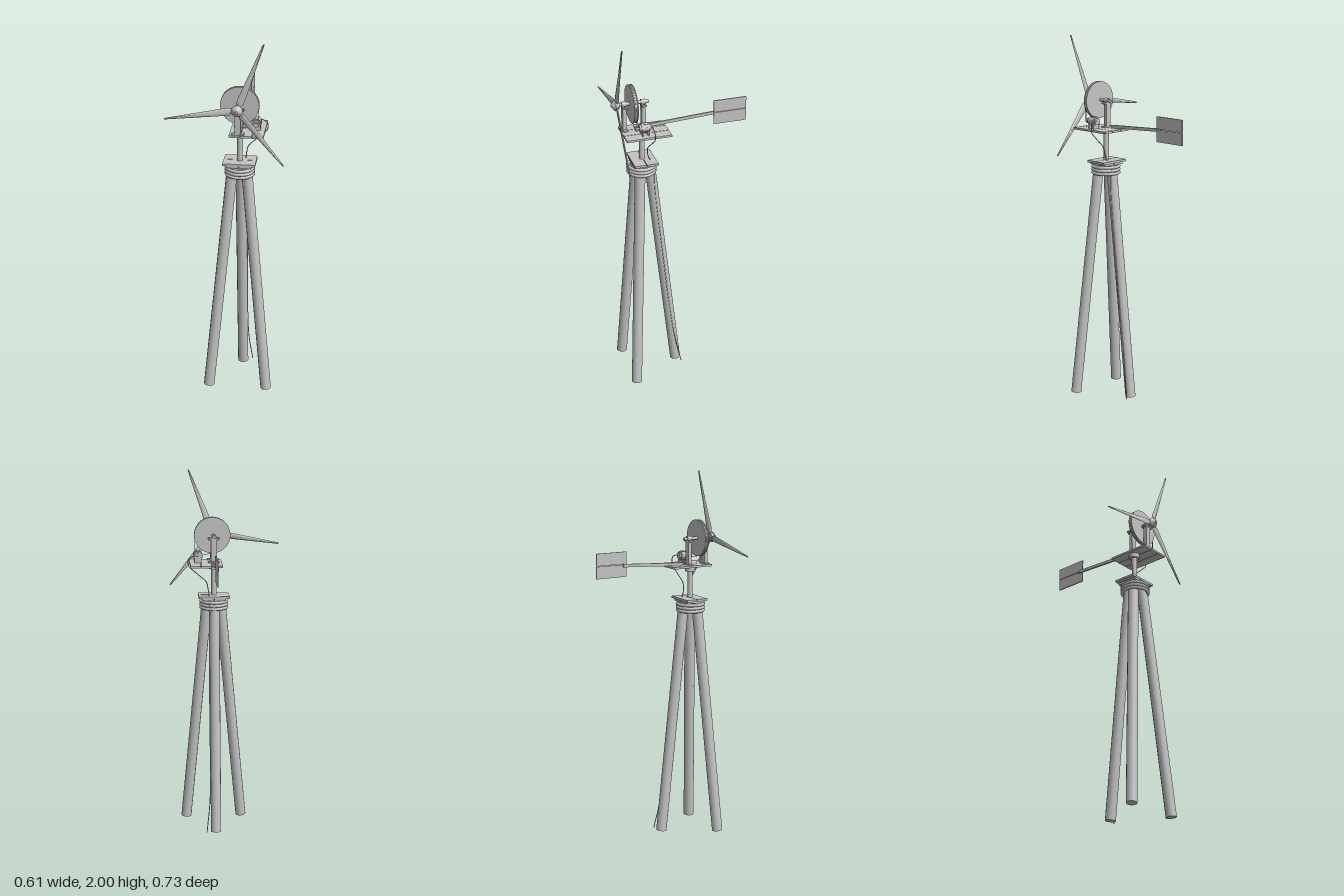
import * as THREE from 'three';

const grey = new THREE.MeshStandardMaterial({ color: 0xc4c4c4 });
grey.name = 'plain grey';

const AX = 0.065; // x of the tower and the rotor shaft
const TZ = 0.205; // z of the tower axis
const HUB = 1.65; // height of the rotor shaft

export function createModel() {
  const model = new THREE.Group();
  model.name = 'windTurbine';

  const add = (name, geometry, x = 0, y = 0, z = 0) => {
    const mesh = new THREE.Mesh(geometry, grey);
    mesh.name = name;
    mesh.position.set(x, y, z);
    model.add(mesh);
    return mesh;
  };
  // Box given by its limits on each axis
  const box = (name, x0, x1, y0, y1, z0, z1) =>
    add(name, new THREE.BoxGeometry(x1 - x0, y1 - y0, z1 - z0), (x0 + x1) / 2, (y0 + y1) / 2, (z0 + z1) / 2);
  // Cylinder between two points
  const rod = (name, a, b, r, sides = 16) => {
    const p = new THREE.Vector3(...a), q = new THREE.Vector3(...b);
    const dir = q.clone().sub(p);
    const mesh = add(name, new THREE.CylinderGeometry(r, r, dir.length(), sides));
    mesh.position.copy(p).add(q).multiplyScalar(0.5);
    mesh.quaternion.setFromUnitVectors(new THREE.Vector3(0, 1, 0), dir.normalize());
    return mesh;
  };
  const alongZ = (name, x, y, z0, z1, r, sides = 20) => rod(name, [x, y, z0], [x, y, z1], r, sides);

  // Tripod legs
  rod('rightLeg', [-0.093, 0.003, 0.297], [0.029, 1.3, 0.225], 0.029, 12);
  rod('leftLeg', [0.223, 0.003, 0.297], [0.101, 1.3, 0.225], 0.029, 12);
  rod('backLeg', [AX, 0.003, 0.023], [AX, 1.3, 0.165], 0.029, 12);

  // Binding rings around the leg tops
  for (let i = 0; i < 3; i++) {
    const ring = add('bindingRing', new THREE.TorusGeometry(0.071, 0.009, 10, 32), AX, 1.256 + i * 0.0175, TZ + 0.003);
    ring.rotation.x = Math.PI / 2;
  }

  // Two crossed layers of boards on the tripod
  for (const s of [0, 1]) {
    box('lowerBoard', 0.001 + s * 0.066, 0.063 + s * 0.066, 1.302, 1.314, 0.145, 0.262);
    box('upperBoard', -0.02, 0.15, 1.314, 1.326, 0.138 + s * 0.065, 0.2 + s * 0.065);
  }

  // Mast and swivel collar
  rod('mast', [AX, 1.32, TZ], [AX, 1.495, TZ], 0.0145);
  rod('swivelCollar', [AX, 1.472, TZ], [AX, 1.495, TZ], 0.028, 20);

  // Platform of three boards
  for (let i = 0; i < 3; i++) {
    box('platformBoard', 0.02 + i * 0.06, 0.077 + i * 0.06, 1.495, 1.506, 0.079, 0.318);
  }

  // Bearing posts with bolted pillow blocks
  for (const z of [0.195, 0.297]) {
    box('bearingPost', AX - 0.016, AX + 0.016, 1.506, 1.64, z - 0.01, z + 0.01);
    box('bearingFoot', AX - 0.032, AX + 0.032, 1.506, 1.513, z - 0.0125, z + 0.0125);
    box('bearingPlate', AX - 0.032, AX + 0.032, 1.634, 1.642, z - 0.0125, z + 0.0125);
    alongZ('bearingCap', AX, HUB, z - 0.0125, z + 0.0125, 0.0145);
    for (const s of [-1, 1]) {
      rod('bearingBolt', [AX + s * 0.025, 1.63, z], [AX + s * 0.025, 1.648, z], 0.004, 6);
    }
  }
  alongZ('shaft', AX, HUB, 0.165, 0.345, 0.0085);

  // Drive wheel: a flat disc with a shallow groove in its rim
  const wheelProfile = [[0, -0.0105], [0.1, -0.0105], [0.1, -0.0065], [0.097, -0.0045],
    [0.097, 0.0045], [0.1, 0.0065], [0.1, 0.0105], [0, 0.0105]]
    .map(([r, y]) => new THREE.Vector2(r, y));
  const wheelGeometry = new THREE.LatheGeometry(wheelProfile, 40).toNonIndexed();
  wheelGeometry.computeVertexNormals();
  const wheelX = AX + 0.005;
  const wheel = add('driveWheel', wheelGeometry, wheelX, HUB, 0.2565);
  wheel.rotation.x = Math.PI / 2;

  // Generator with end caps, fins, feet and pulley
  const gx = 0.152, gy = 1.546;
  alongZ('generatorBody', gx, gy, 0.19, 0.232, 0.0245);
  alongZ('generatorRearCap', gx, gy, 0.182, 0.19, 0.018);
  alongZ('generatorFrontCap', gx, gy, 0.232, 0.242, 0.019);
  for (let i = 0; i < 8; i++) {
    const a = ((i + 0.5) / 8) * Math.PI * 2;
    const fin = add('generatorFin', new THREE.BoxGeometry(0.005, 0.005, 0.03), gx + Math.cos(a) * 0.0245, gy + Math.sin(a) * 0.0245, 0.211);
    fin.rotation.z = a;
  }
  for (const z of [0.196, 0.226]) box('generatorFoot', gx - 0.02, gx + 0.02, 1.506, 1.53, z - 0.004, z + 0.004);
  alongZ('generatorShaft', gx, gy, 0.24, 0.262, 0.006, 12);
  alongZ('pulley', gx, gy, 0.25, 0.262, 0.012);

  // Drive belt tangent to the wheel and the pulley
  const dx = gx - wheelX, dy = gy - HUB;
  const phi = Math.atan2(dy, dx);
  const beta = Math.acos((0.097 - 0.012) / Math.hypot(dx, dy));
  const beltLoop = (path, t) => {
    path.absarc(0, 0, 0.097 + t, phi + beta, phi - beta + Math.PI * 2, false);
    path.absarc(dx, dy, 0.012 + t, phi - beta, phi + beta, false);
    return path;
  };
  const beltShape = beltLoop(new THREE.Shape(), 0.002);
  beltShape.holes.push(beltLoop(new THREE.Path(), 0));
  add('driveBelt', new THREE.ExtrudeGeometry(beltShape, { depth: 0.006, bevelEnabled: false, curveSegments: 32 }), wheelX, HUB, 0.2535);

  // Rotor hub and nose cone
  alongZ('hubBack', AX, HUB, 0.322, 0.328, 0.018);
  alongZ('hub', AX, HUB, 0.328, 0.344, 0.024);
  const nose = add('noseCone', new THREE.CylinderGeometry(0.007, 0.03, 0.021, 20), AX, HUB, 0.3545);
  nose.rotation.x = Math.PI / 2;

  // Three twisted, tapering blades; stations are [radius, half chord, half thickness, pitch]
  const stations = [[0.015, 0.01, 0.005, 0.26], [0.045, 0.02, 0.005, 0.22], [0.2, 0.0125, 0.0045, 0.14], [0.375, 0.004, 0.0035, 0.04]];
  const bladeGeometry = loftBlade(stations);
  for (let i = 0; i < 3; i++) {
    const blade = add('blade', bladeGeometry, AX, HUB, 0.336);
    blade.rotation.z = THREE.MathUtils.degToRad(69.4 + i * 120);
  }

  // Tail boom and two-board vane
  const boom = add('tailBoom', new THREE.BoxGeometry(0.009, 0.017, 0.367), AX, 1.523, -0.025);
  boom.rotation.x = 0.055;
  box('vaneUpperBoard', 0.072, 0.078, 1.54, 1.606, -0.365, -0.186);
  box('vaneLowerBoard', 0.072, 0.078, 1.471, 1.537, -0.365, -0.186);

  // Cable from the generator, round the platform and down the back leg
  const cable = new THREE.CatmullRomCurve3([
    [0.152, 1.546, 0.183], [0.17, 1.548, 0.176], [0.204, 1.53, 0.172], [0.203, 1.49, 0.172], [0.18, 1.468, 0.175],
    [0.145, 1.437, 0.18], [0.108, 1.403, 0.185], [0.097, 1.36, 0.182], [0.092, 1.32, 0.165], [0.092, 1.29, 0.134],
    [0.092, 1.24, 0.145], [0.095, 0.7, 0.098], [0.097, 0.2, 0.04], [0.117, 0.004, 0.003],
  ].map((p) => new THREE.Vector3(...p)), false, 'centripetal');
  add('cable', new THREE.TubeGeometry(cable, 100, 0.0025, 6));

  return model;
}

// Closed loft of flat six-sided sections along +x
function loftBlade(stations) {
  const section = [[1, 0], [0.4, 1], [-0.4, 1], [-1, 0], [-0.4, -1], [0.4, -1]];
  const n = section.length, positions = [], index = [];
  for (const [r, chord, thick, pitch] of stations) {
    for (const [u, v] of section) {
      const y = u * chord, z = v * thick;
      positions.push(r, y * Math.cos(pitch) - z * Math.sin(pitch), y * Math.sin(pitch) + z * Math.cos(pitch));
    }
  }
  for (let s = 0; s < stations.length - 1; s++) {
    for (let i = 0; i < n; i++) {
      const a = s * n + i, b = s * n + ((i + 1) % n);
      index.push(a, b, b + n, a, b + n, a + n);
    }
  }
  // End caps
  const last = (stations.length - 1) * n;
  for (let i = 1; i < n - 1; i++) index.push(0, i + 1, i, last, last + i, last + i + 1);
  const indexed = new THREE.BufferGeometry();
  indexed.setAttribute('position', new THREE.Float32BufferAttribute(positions, 3));
  indexed.setIndex(index);
  const geometry = indexed.toNonIndexed();
  geometry.computeVertexNormals();
  return geometry;
}
